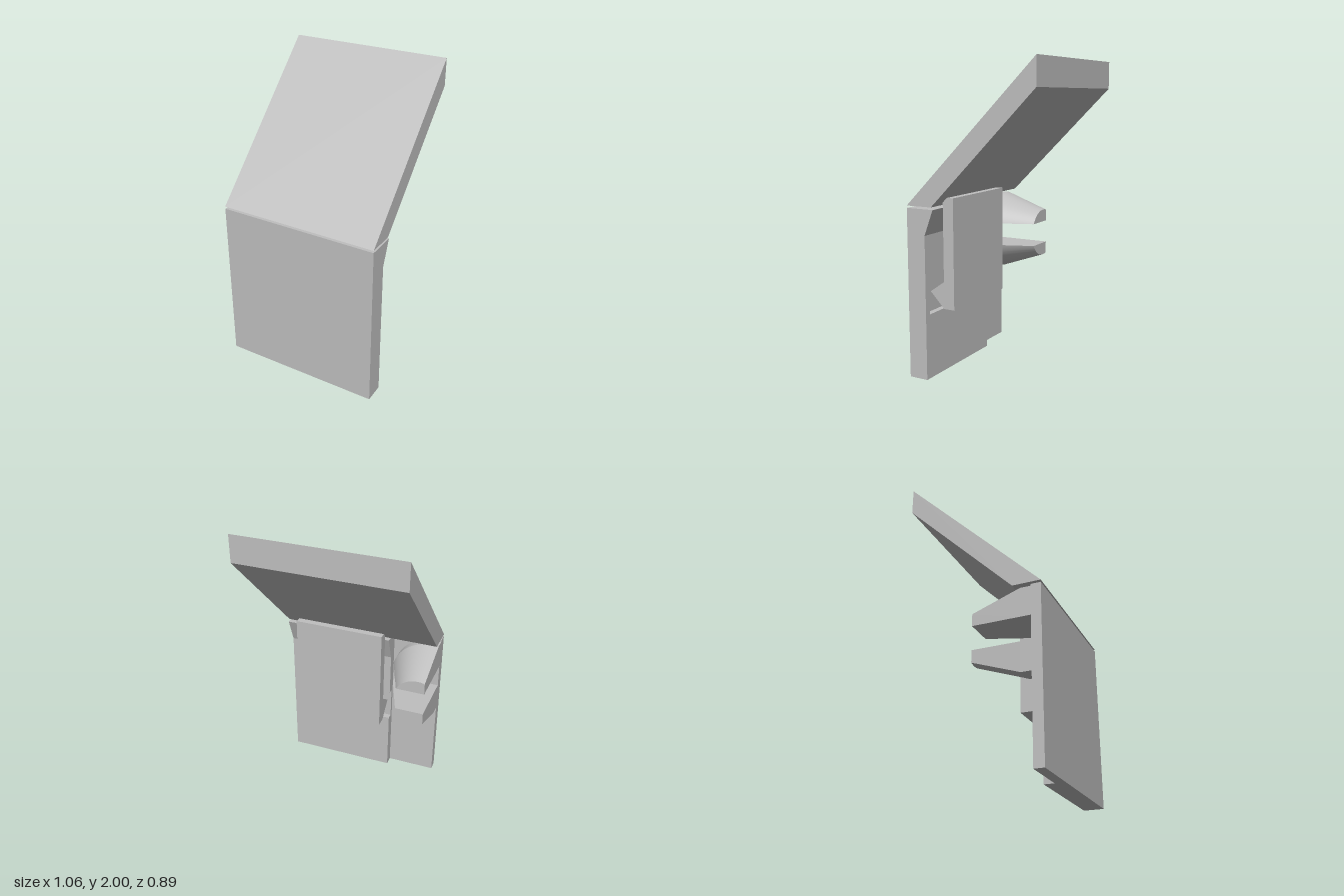
import * as THREE from 'three';
import { toCreasedNormals } from 'three/addons/utils/BufferGeometryUtils.js';

const grey = new THREE.MeshStandardMaterial({ color: 0xbfbfbf });
grey.name = 'grey';

// Extrude a side profile of [z, y] points between two x positions
function slab(name, profile, x0, x1) {
  const shape = new THREE.Shape(profile.map(([z, y]) => new THREE.Vector2(z, y)));
  const geo = new THREE.ExtrudeGeometry(shape, { depth: x1 - x0, bevelEnabled: false });
  geo.rotateY(-Math.PI / 2).translate(x1, 0, 0);
  const mesh = new THREE.Mesh(geo, grey);
  mesh.name = name;
  return mesh;
}

// One half of the split cone, cut flat along the gap and along the outer side
function jaw(name, side) {
  const cx = -0.483, cy = 0.8175, gap = 0.0775, cut = -0.53, n = 24;
  const sections = [[0.385, 0.27], [0.32, 0.27], [0.015, 0.163]].map(([z, r]) => {
    const a0 = Math.asin(gap / r), a1 = Math.acos((cut - cx) / r), pts = [];
    for (let i = 0; i <= n; i++) {
      const a = a0 + (a1 - a0) * i / n;
      pts.push([cx + r * Math.cos(a), cy + side * r * Math.sin(a), z]);
    }
    pts.push([cut, cy + side * gap, z]);
    return pts;
  });
  const out = [];
  const tri = (a, b, c) => out.push(...(side > 0 ? [a, b, c] : [a, c, b]).flat());
  const count = n + 2;
  for (let s = 0; s < sections.length - 1; s++) {
    const A = sections[s], B = sections[s + 1];
    for (let i = 0; i < count; i++) {
      const j = (i + 1) % count;
      tri(A[i], B[i], A[j]);
      tri(A[j], B[i], B[j]);
    }
  }
  const base = sections[0], tip = sections[sections.length - 1];
  for (let i = 1; i < count - 1; i++) {
    tri(base[0], base[i], base[i + 1]);
    tri(tip[0], tip[i + 1], tip[i]);
  }
  const geo = new THREE.BufferGeometry();
  geo.setAttribute('position', new THREE.Float32BufferAttribute(out, 3));
  const mesh = new THREE.Mesh(toCreasedNormals(geo, 0.3), grey);
  mesh.name = name;
  return mesh;
}

export function createModel() {
  const model = new THREE.Group();
  model.name = 'hingedClip';

  // Slanted upper panel
  model.add(slab('slantedPanel',
    [[0.45, 1.11], [0.27, 1.11], [-0.445, 1.825], [-0.445, 2]], -0.53, 0.53));

  // Upright front plate
  model.add(slab('frontPlate',
    [[0.45, 0], [0.385, 0], [0.385, 1.095], [0.45, 1.095]], -0.53, 0.53));

  // Thick backing with a tapered top; a catch slot runs across all but its end rim
  const lower = [[0.385, 0], [0.32, 0]];
  const slot = [[0.32, 0.42], [0.36, 0.42], [0.36, 0.637], [0.32, 0.637]];
  const upper = [[0.32, 0.93], [0.257, 1.095], [0.385, 1.095]];
  model.add(slab('slottedBacking', [...lower, ...slot, ...upper], -0.205, 0.49));
  model.add(slab('backingRim', [...lower, ...upper], 0.49, 0.53));

  // Hanging latch with a pointed catch
  model.add(slab('latch', [[0.175, 0.45], [0.25, 0.45], [0.352, 0.553], [0.25, 0.625],
    [0.25, 1.13], [0.22, 1.16], [0.175, 1.16]], -0.18, 0.43));

  // Pair of half-cone jaws
  model.add(jaw('upperJaw', 1), jaw('lowerJaw', -1));
  return model;
}
